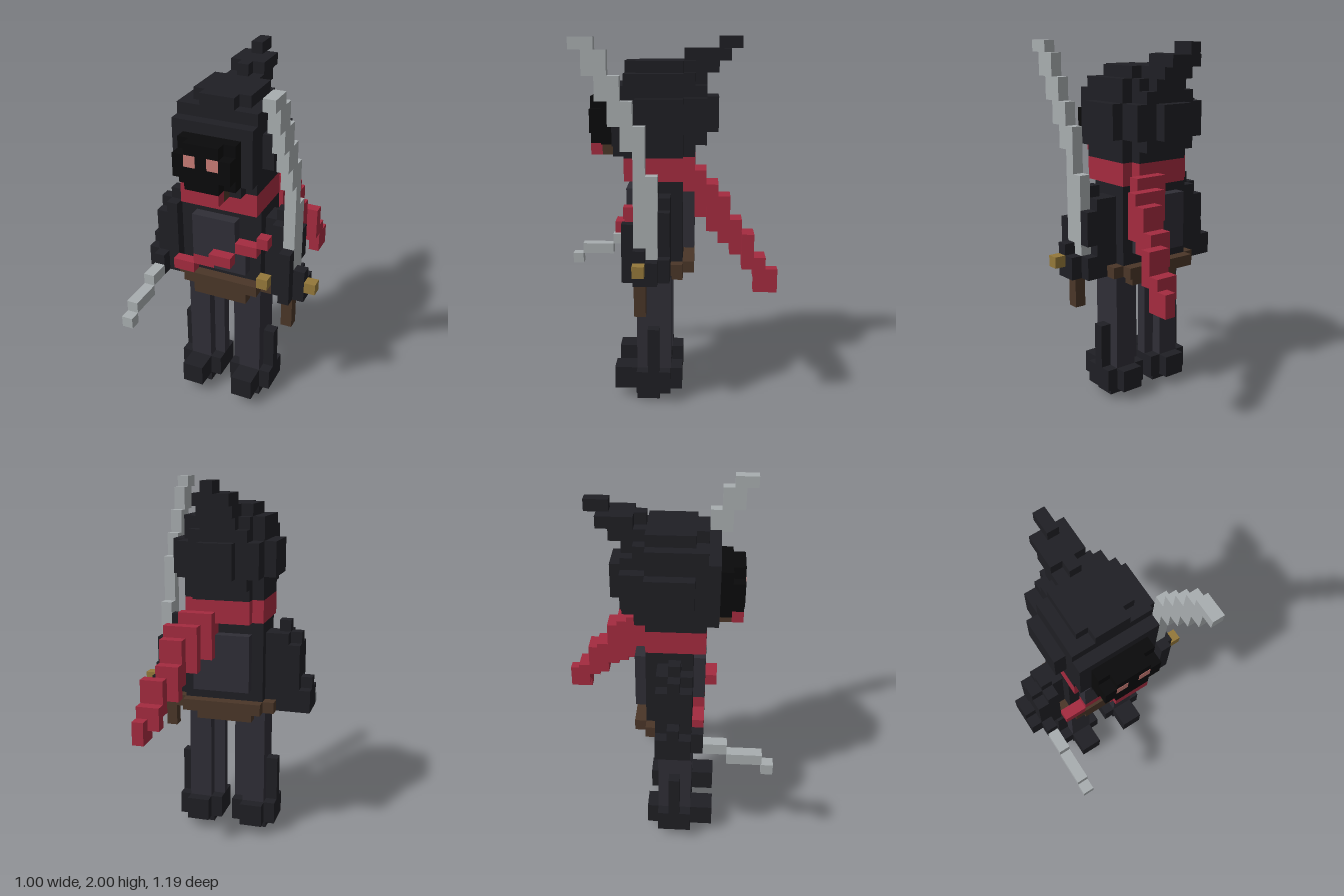
import * as THREE from 'three';

const V = 1 / 16; // one block

const mat = (color) => new THREE.MeshStandardMaterial({ color, flatShading: true, roughness: 0.9 });
const mats = {
  cloth: mat(0x1f1f24), light: mat(0x2f2e36), mask: mat(0x0a0a0b), red: mat(0xa42b3f),
  leather: mat(0x4a3628), gold: mat(0x94783a), steel: mat(0xa8adaf), eye: mat(0xc67a74),
};

// Each box is [x0, x1, y0, y1, z0, z1] in blocks; z is counted from the back.
function part(parent, name, material, boxes) {
  const group = new THREE.Group();
  group.name = name;
  for (const [x0, x1, y0, y1, z0, z1] of boxes) {
    const mesh = new THREE.Mesh(
      new THREE.BoxGeometry((x1 - x0) * V, (y1 - y0) * V, (z1 - z0) * V), mats[material]);
    mesh.name = name + 'Block';
    mesh.position.set((x0 + x1) / 2 * V, (y0 + y1) / 2 * V, ((z0 + z1) / 2 - 9.5) * V);
    group.add(mesh);
  }
  parent.add(group);
}

// The body is mirrored about x = -0.5 blocks.
const mirror = (boxes) => boxes.map(([a, b, ...rest]) => [-1 - b, -1 - a, ...rest]);

export function createModel() {
  const model = new THREE.Group();
  model.name = 'hoodedSwordsman';

  // Legs and boots
  const leg = [[1, 3, 3, 12, 9, 12], [0, 1, 3, 12, 10, 11]];
  const boot = [[1, 3, 0, 1, 10, 12], [0, 4, 1, 3, 9, 12], [1, 3, 1, 3, 8, 14]];
  const shin = [[3, 4, 3, 7, 10, 11]];
  for (const [side, f] of [['left', (b) => b], ['right', mirror]]) {
    part(model, side + 'Leg', 'light', f(leg));
    part(model, side + 'Boot', 'cloth', f(boot));
    part(model, side + 'ShinGuard', 'cloth', f(shin));
  }

  // Belt, buckle and sheath
  part(model, 'belt', 'leather', [[-4, 3, 12, 13, 7, 13], [-5, 4, 12, 13, 8, 12], [-3, 2, 11, 12, 8, 13]]);
  part(model, 'buckle', 'gold', [[3, 4, 13, 14, 12, 13]]);
  part(model, 'sheath', 'leather', [[5, 6, 9, 12, 11, 12]]);

  // Torso with chest panel and back panel
  part(model, 'torso', 'cloth', [[-4, 3, 13, 20, 8, 12], [-5, 4, 13, 19, 9, 11]]);
  part(model, 'chestPanel', 'light', [[-3, 1, 16, 19, 12, 13], [-3, 2, 15, 16, 12, 13], [-1, 2, 14, 15, 12, 13]]);
  part(model, 'backPanel', 'light', [[-3, 2, 14, 19, 7, 8]]);

  // Sash stepping diagonally over the chest
  part(model, 'sash', 'red', [[-5, -3, 13, 14, 12, 13], [-3, -1, 14, 15, 12, 13], [-1, 1, 15, 16, 13, 14],
    [1, 3, 16, 17, 12, 13], [3, 4, 17, 18, 12, 13]]);

  // Arms and hands
  part(model, 'leftArm', 'cloth', [[4, 5, 15, 19, 9, 12], [4, 5, 19, 20, 10, 11], [5, 6, 15, 18, 9, 10],
    [4, 6, 12, 14, 9, 12], [4, 5, 14, 15, 9, 12], [6, 7, 12, 14, 10, 11], [6, 7, 12, 15, 11, 12],
    [5, 6, 12, 17, 12, 13]]);
  part(model, 'rightArm', 'cloth', [[-6, -5, 15, 19, 9, 12], [-6, -5, 19, 20, 10, 11],
    [-7, -6, 15, 18, 9, 12], [-7, -6, 18, 19, 10, 11], [-7, -5, 12, 15, 9, 12],
    [-8, -7, 12, 15, 10, 11], [-8, -7, 12, 14, 9, 12], [-7, -6, 12, 14, 12, 13]]);

  // Long sword in the left hand, short blade in the right
  part(model, 'longBlade', 'steel', [[14, 21], [14, 25], [23, 27], [25, 29], [27, 31], [29, 32], [31, 32]]
    .map(([y0, y1], i) => [5, 6, y0, y1, 10 + i, 11 + i]));
  part(model, 'pommel', 'gold', [[7, 8, 13, 14, 11, 12]]);
  part(model, 'shortBlade', 'steel', [[-7, -6, 12, 13, 13, 15], [-7, -6, 11, 12, 15, 18], [-7, -6, 10, 11, 18, 19]]);

  // Scarf around the neck
  part(model, 'scarf', 'red', [[-4, 3, 20, 22, 8, 13], [-3, 2, 20, 22, 7, 8], [-2, 1, 22, 23, 15, 16]]);
  part(model, 'chin', 'leather', [[-2, 1, 22, 23, 14, 15]]);
  part(model, 'scarfKnot', 'cloth', [[-1, 0, 21, 22, 12, 13.04]]);

  // Scarf tail stepping down behind the left shoulder
  const tail = [[4, 5, 11, 13], [3, 5, 12, 14], [3, 5, 13, 16], [2, 4, 14, 17], [2, 4, 15, 19],
    [1, 4, 16, 20], [0, 3, 17, 21], [0, 2, 19, 22]];
  part(model, 'scarfTail', 'red', [[4, 5, 11, 12, 1, 2], ...tail.map((t, i) => [...t, i, i + 1])]);

  // Hood with chamfered corners, ear pads and back pad
  part(model, 'hood', 'cloth', [[-4, 3, 22, 29, 8, 13], [-3, 2, 22, 29, 7, 8],
    [-3, 2, 29, 30, 8, 12], [-2, 1, 29, 30, 12, 13], [-3, 2, 23, 28, 6, 7], [-4, 3, 24, 27, 6, 8],
    [-4, 3, 23, 28, 13, 14], [-3, 2, 22, 23, 13, 14]]);
  part(model, 'earPads', 'cloth', [[-5, 4, 24, 27, 8, 12]]);
  part(model, 'backPad', 'cloth', [[-2, 1, 24, 27, 5, 6]]);

  // Peak swept backwards
  part(model, 'hoodPeak', 'cloth', [[-2, 1, 28, 30, 6, 8], [-2, 1, 29, 30, 5, 6], [-2, 1, 30, 31, 4, 7],
    [-1, 0, 30, 31, 7, 8], [-1, 0, 31, 32, 3, 5]]);

  // Masked face with clipped front corners, and eyes
  part(model, 'mask', 'mask', [[-3, 2, 23, 27, 14, 15], [-3, 2, 24, 26, 15, 16], [-2, 1, 23, 27, 15, 16]]);
  part(model, 'eyes', 'eye', [[-2, -1, 25, 26, 15, 16.03], [0, 1, 25, 26, 15, 16.03]]);

  return model;
}
